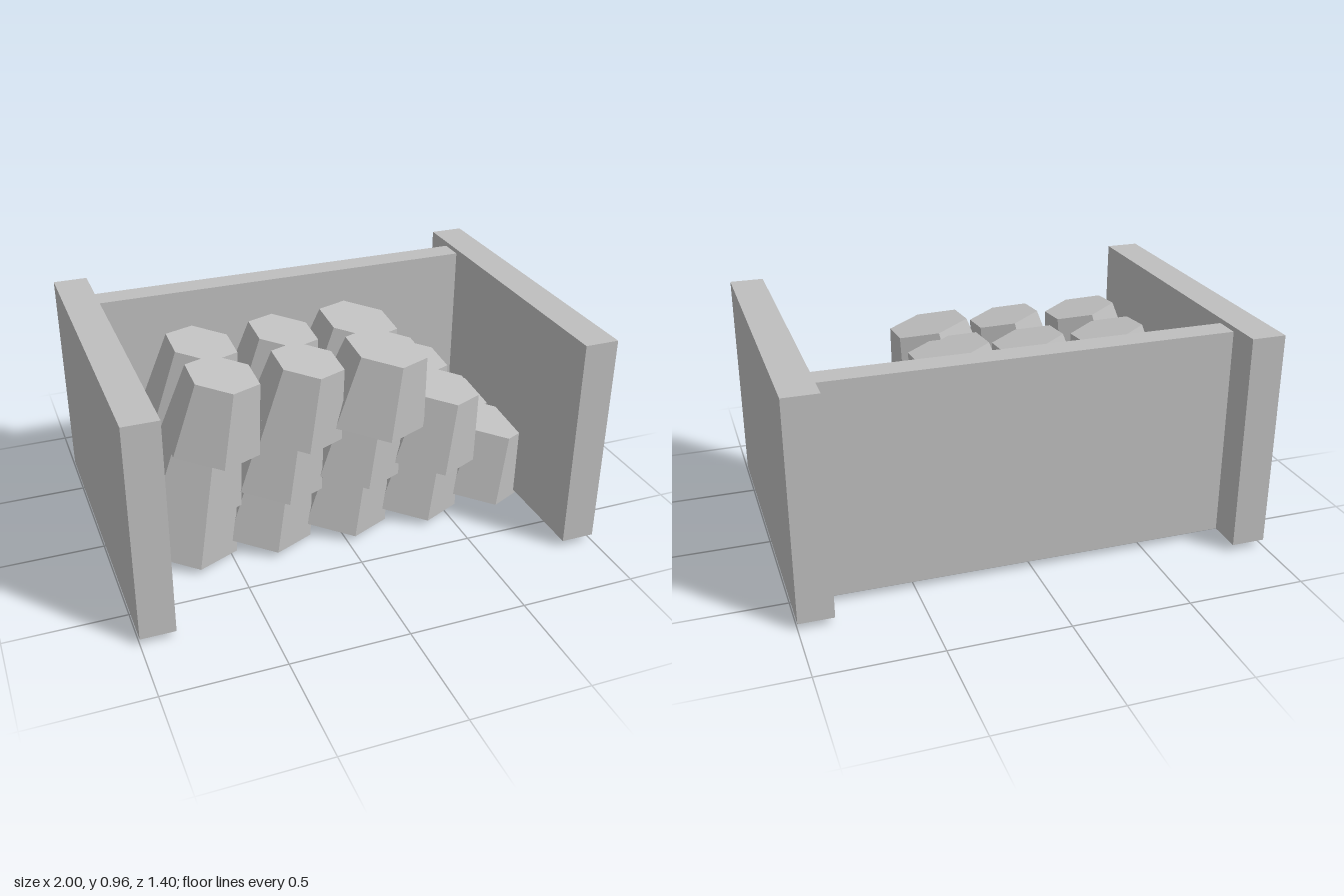
import * as THREE from 'three';

const grey = new THREE.MeshStandardMaterial({ color: 0xbfbfbf, flatShading: true });
grey.name = 'plain grey';

function wall(name, size, pos) {
  const mesh = new THREE.Mesh(new THREE.BoxGeometry(...size), grey);
  mesh.name = name;
  mesh.position.set(...pos);
  return mesh;
}

// Each column lists its segments from the ground up: [base centre x, scale]
const columns = [
  [[-0.66, 1], [-0.632, 0.97], [-0.55, 0.96]],
  [[-0.32, 0.99], [-0.27, 0.96], [-0.188, 0.95]],
  [[0.033, 1], [0.085, 0.97], [0.16, 1.08]],
  [[0.38, 1], [0.438, 1.03]],
  [[0.722, 0.97]],
];

export function createModel() {
  const model = new THREE.Group();
  model.name = 'stackedHexTubs';

  // Open-fronted enclosure
  for (const side of [-1, 1]) {
    model.add(wall(side > 0 ? 'leftWall' : 'rightWall', [0.145, 0.93, 1.4], [side * 0.9275, 0.497, 0]));
  }
  model.add(wall('backWall', [1.71, 0.91, 0.11], [0, 0.487, -0.495]));

  // Tapered hexagonal segment with its origin at the base
  const hex = new THREE.CylinderGeometry(0.163, 0.222, 0.32, 6);
  hex.translate(0, 0.16, 0);

  // Two identical rows of leaning stacks
  [0.125, -0.185].forEach((rowZ, row) => {
    columns.forEach((segments, c) => {
      const stack = new THREE.Group();
      stack.name = `${row ? 'back' : 'front'}Stack${c + 1}`;
      segments.forEach(([x, s], level) => {
        const segment = new THREE.Mesh(hex, grey);
        segment.name = `segment${level + 1}`;
        segment.position.set(x, 0.047 + level * 0.241, rowZ + level * 0.025);
        segment.rotation.set(0.09, 0, -0.18);
        segment.scale.set(s, 1, s);
        stack.add(segment);
      });
      model.add(stack);
    });
  });

  return model;
}
